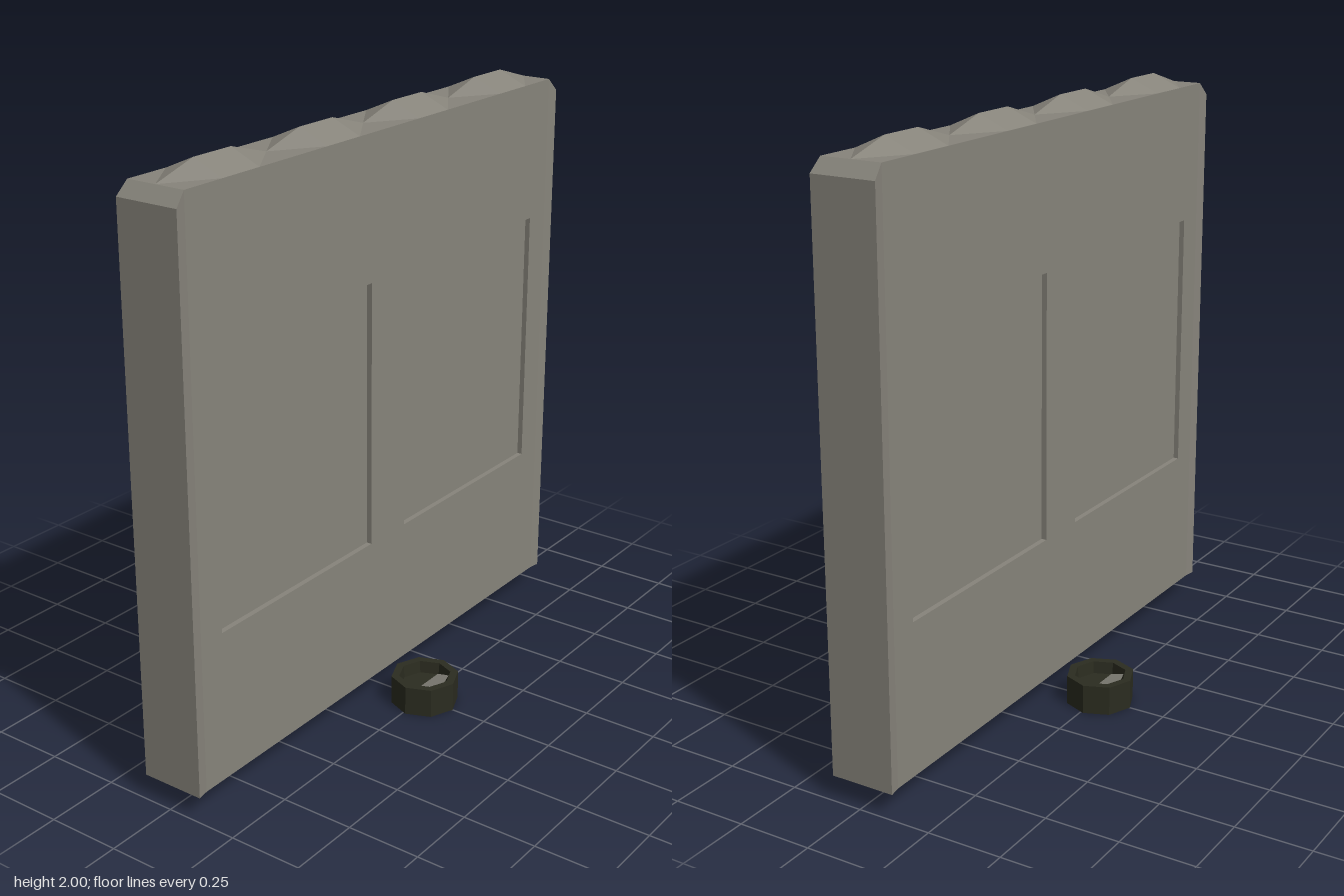
import * as THREE from 'three';
import { ConvexGeometry } from 'three/addons/geometries/ConvexGeometry.js';

const BASE = 0.075, TOP = 1.955, HALF = 0.945, END = 0.985, DEPTH = 0.103;

// Facets a geometry
function flat(geometry) {
  const g = geometry.index ? geometry.toNonIndexed() : geometry;
  g.computeVertexNormals();
  return g;
}

export function createModel() {
  const stone = new THREE.MeshStandardMaterial({ color: 0x87847b });
  stone.name = 'stone';
  const darkMetal = new THREE.MeshStandardMaterial({ color: 0x2b2c20 });
  darkMetal.name = 'darkMetal';
  const lensGrey = new THREE.MeshStandardMaterial({ color: 0x87857c, side: THREE.DoubleSide });
  lensGrey.name = 'lensGrey';

  const model = new THREE.Group();
  model.name = 'memorialWall';
  function add(geometry, material, name, parent = model) {
    const mesh = new THREE.Mesh(geometry, material);
    mesh.name = name;
    parent.add(mesh);
    return mesh;
  }
  function rect(Type, x0, y0, x1, y1) {
    return new Type([[x0, y0], [x1, y0], [x1, y1], [x0, y1]].map(p => new THREE.Vector2(...p)));
  }

  // Slab with two openings, filled by thinner panels to leave recesses on both faces
  const slab = rect(THREE.Shape, -HALF, BASE, HALF, TOP);
  for (const s of [-1, 1]) {
    slab.holes.push(rect(THREE.Path, s * 0.472 - 0.378, 0.58, s * 0.472 + 0.378, 1.48));
    add(new THREE.BoxGeometry(0.756, 0.9, 2 * (DEPTH - 0.018)), stone, 'recessedPanel')
      .position.set(s * 0.472, 1.03, 0);
  }
  const slabGeometry = new THREE.ExtrudeGeometry(slab, { depth: 2 * DEPTH, bevelEnabled: false });
  add(slabGeometry.translate(0, 0, -DEPTH), stone, 'slab');

  // Slightly flared ends with a chamfered upper corner
  for (const s of [-1, 1]) {
    const g = new THREE.BoxGeometry(END - HALF, TOP - BASE, 2 * DEPTH);
    g.translate((END + HALF) / 2, (TOP + BASE) / 2, 0);
    const p = g.attributes.position;
    for (let i = 0; i < p.count; i++) {
      if (p.getX(i) < 0.96) continue;
      p.setZ(i, Math.sign(p.getZ(i)) * 0.11);
      if (p.getY(i) > 1) p.setY(i, 1.912);
    }
    add(flat(g), stone, 'flaredEnd').rotation.y = s > 0 ? 0 : Math.PI;
  }

  // Row of four faceted ridges along the top
  const half = HALF / 4;
  for (let i = 0; i < 4; i++) {
    const points = [];
    for (const s of [-1, 1]) {
      points.push(new THREE.Vector3(s * half, 0, 0), new THREE.Vector3(s * 0.08, 2 - TOP, 0),
        new THREE.Vector3(s * 0.08, 0, DEPTH), new THREE.Vector3(s * 0.08, 0, -DEPTH));
    }
    add(new ConvexGeometry(points), stone, 'topRidge').position.set((2 * i - 3) * half, TOP, 0);
  }

  // Ground spotlights, each with a lens tilted towards the wall
  const profile = [[0, 0], [0.115, 0], [0.115, 0.1], [0.088, 0.1], [0.084, 0.058], [0, 0.058]]
    .map(p => new THREE.Vector2(...p));
  for (const s of [-1, 1]) {
    const lamp = new THREE.Group();
    lamp.name = 'spotlight';
    lamp.position.z = s * 0.26;
    lamp.rotation.y = s > 0 ? 0 : Math.PI;
    add(flat(new THREE.LatheGeometry(profile, 8)), darkMetal, 'lampHousing', lamp);
    const lens = add(new THREE.CircleGeometry(0.086, 8), lensGrey, 'lampLens', lamp);
    lens.position.y = 0.06;
    lens.rotation.x = -Math.PI / 2 - 0.4;
    model.add(lamp);
  }
  return model;
}
